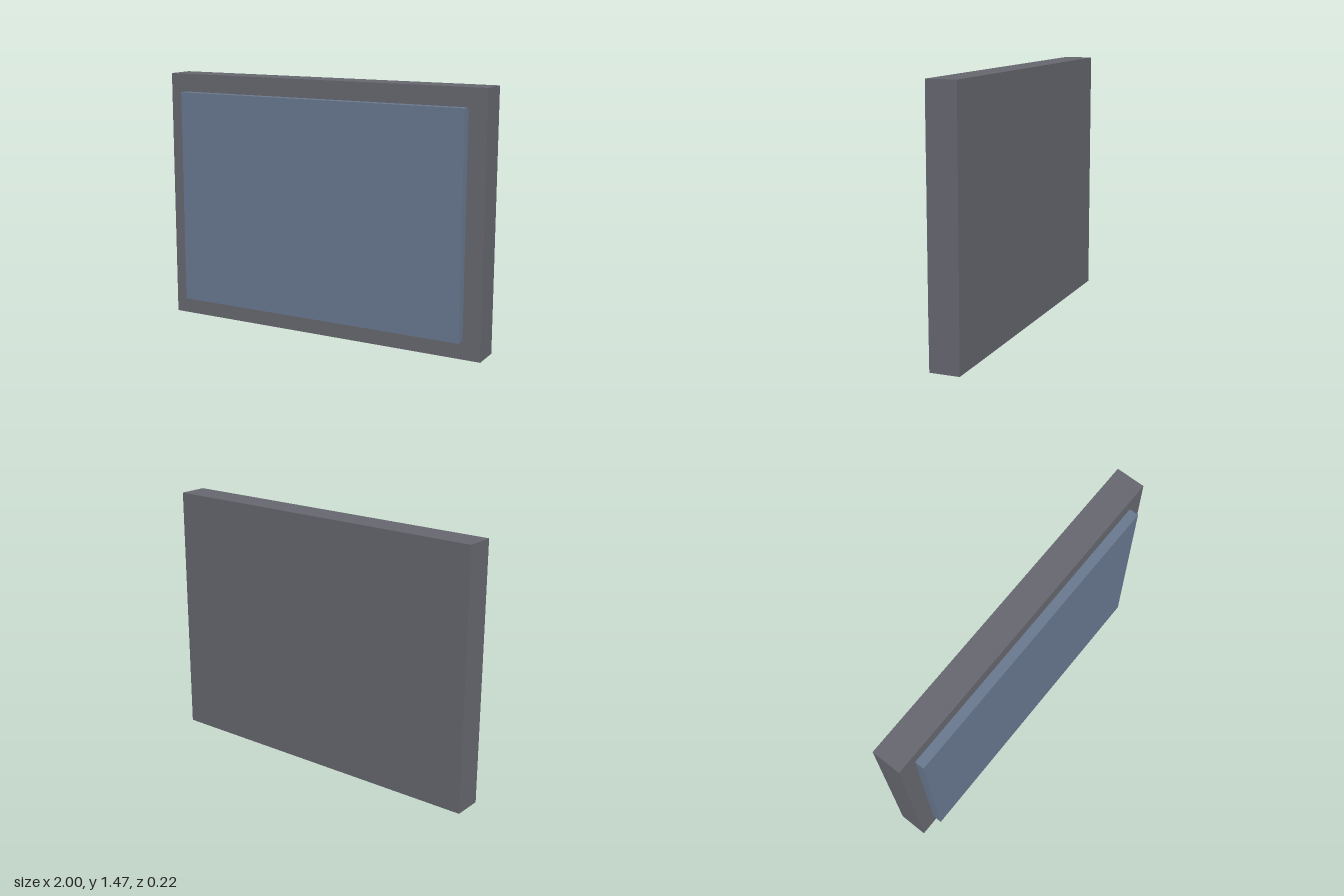
import * as THREE from 'three';

// Adds a box resting with its back face at z = back
function addSlab(group, name, color, width, height, back, front) {
  const mesh = new THREE.Mesh(
    new THREE.BoxGeometry(width, height, front - back),
    new THREE.MeshStandardMaterial({ color })
  );
  mesh.name = name;
  mesh.position.set(0, 0.737, (back + front) / 2);
  group.add(mesh);
}

export function createModel() {
  const group = new THREE.Group();
  group.name = 'framedPanel';

  // Thick dark backing that shows as a border
  addSlab(group, 'frame', 0x66676f, 2, 1.474, -0.112, 0.057);

  // Raised blue panel on the front
  addSlab(group, 'panel', 0x68788f, 1.79, 1.264, 0.057, 0.112);

  return group;
}
